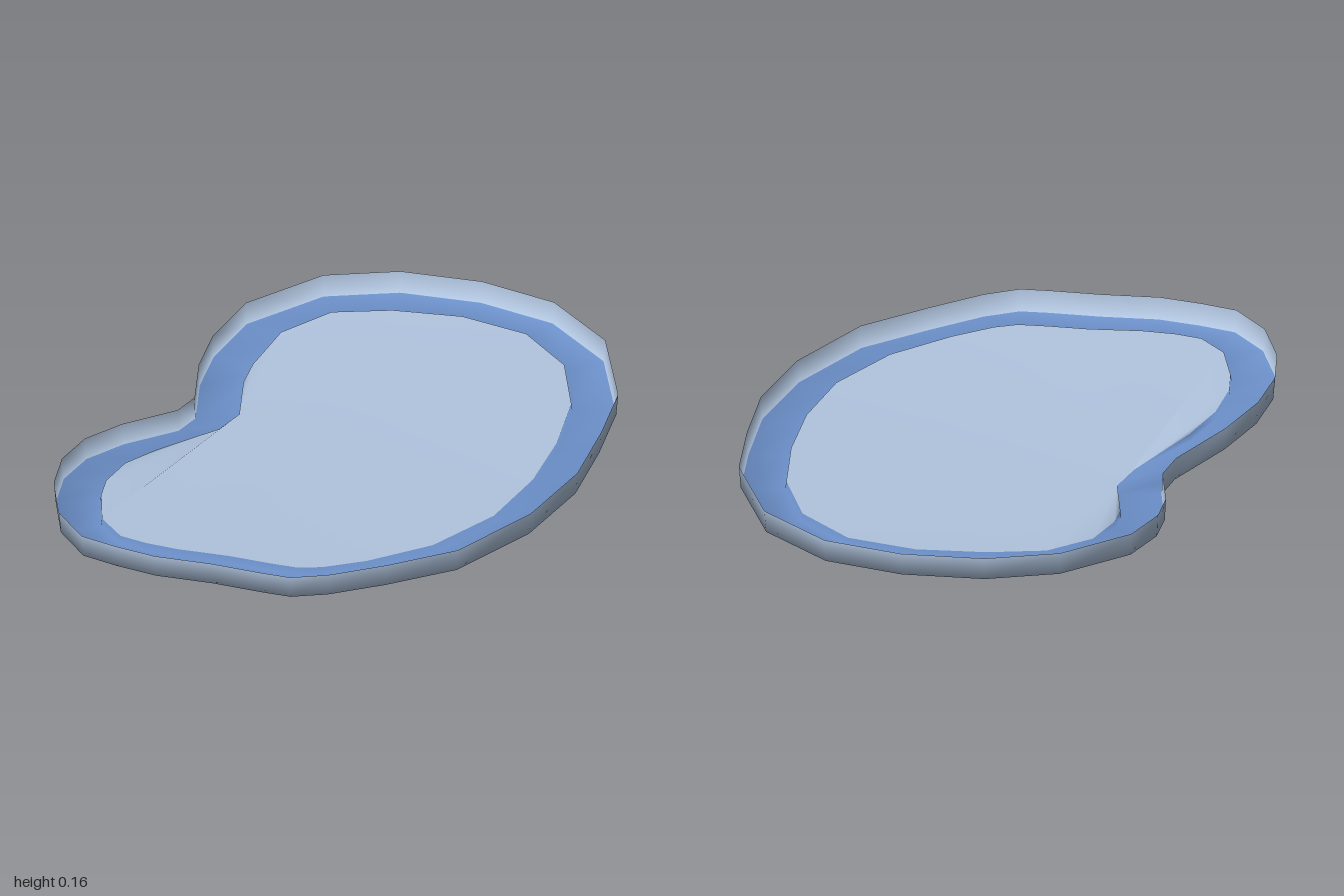
import * as THREE from 'three';

// Plan outlines as x, z pairs, running round from the back.
const OUTER = [
  0.03, -1, 0.31, -0.98, 0.57, -0.89, 0.78, -0.68, 0.88, -0.35, 0.865, -0.1, 0.83, 0.17,
  0.72, 0.45, 0.52, 0.72, 0.3, 0.86, 0.12, 0.96, 0, 1, -0.1, 0.99, -0.27, 0.965,
  -0.47, 0.95, -0.61, 0.91, -0.73, 0.865, -0.83, 0.73, -0.88, 0.54, -0.88, 0.38, -0.83, 0.22,
  -0.73, 0.07, -0.57, -0.1, -0.53, -0.2, -0.55, -0.4, -0.53, -0.56, -0.45, -0.75, -0.22, -0.94,
];
const INNER = [
  0.03, -0.845, 0.27, -0.84, 0.5, -0.765, 0.66, -0.59, 0.725, -0.35, 0.72, -0.1, 0.68, 0.15,
  0.59, 0.4, 0.42, 0.62, 0.22, 0.76, 0.08, 0.83, 0, 0.85, -0.1, 0.84, -0.24, 0.82,
  -0.42, 0.81, -0.53, 0.79, -0.62, 0.76, -0.7, 0.66, -0.73, 0.5, -0.73, 0.4, -0.69, 0.26,
  -0.61, 0.13, -0.43, -0.09, -0.38, -0.2, -0.4, -0.4, -0.385, -0.5, -0.32, -0.68, -0.17, -0.81,
];
const COUNT = OUTER.length / 2;
const NOTCH = 23; // innermost point of the notch, where the panel folds meet
const SPLIT = 17; // last outline point in clear sight of the notch
const BASE = 0.07;
const HEIGHT = 0.08;
const LIP = 0.027;

// The basin sags at the notch and lifts slightly at the front right corner.
function sag(x, z) {
  const d = Math.hypot(x + 0.5, z + 0.25) / 0.48;
  const lift = THREE.MathUtils.clamp((z - x - 0.4) / 0.9, 0, 1);
  return 0.014 * lift - 0.071 * Math.exp(-d * d);
}

export function createModel() {
  const paleBlue = new THREE.MeshStandardMaterial({ color: 0xb0c4de, side: THREE.DoubleSide });
  paleBlue.name = 'paleBlue';
  const midBlue = new THREE.MeshStandardMaterial({ color: 0x6b8fc8, side: THREE.DoubleSide });
  midBlue.name = 'midBlue';

  // Cross-section rows: outer rim, channel outside, channel inside, panel edge
  const rows = [
    { outline: OUTER, y: BASE + HEIGHT, scale: 1 },
    { outline: OUTER, y: BASE, scale: 0.993 },
    { outline: INNER, y: BASE, scale: 1 },
    { outline: INNER, y: BASE + LIP, scale: 0.995 },
  ];
  const positions = [];
  for (const { outline, y, scale } of rows) {
    for (let i = 0; i < COUNT; i++) {
      const x = outline[2 * i], z = outline[2 * i + 1];
      positions.push(x * scale, Math.max(0, y + sag(x, z)), z * scale);
    }
  }

  const geometry = new THREE.BufferGeometry();
  const index = [];
  const addGroup = (material, build) => {
    const start = index.length;
    build();
    geometry.addGroup(start, index.length - start, material);
  };
  const addStrip = (row) => {
    for (let i = 0; i < COUNT; i++) {
      const j = (i + 1) % COUNT;
      const a = row * COUNT + i, b = row * COUNT + j;
      index.push(a, a + COUNT, b + COUNT, a, b + COUNT, b);
    }
  };
  // Panel triangles from one apex to each outline edge between two points
  const addFan = (apex, from, to) => {
    const at = (k) => 3 * COUNT + k % COUNT;
    for (let k = from; k < to; k++) index.push(at(apex), at(k + 1), at(k));
  };

  // Outer wall
  addGroup(0, () => addStrip(0));
  // Channel floor and low inner lip
  addGroup(1, () => { addStrip(1); addStrip(2); });
  // Middle panel, fanned out from the two points of the notch
  addGroup(0, () => {
    addFan(NOTCH, NOTCH + 1, COUNT + SPLIT);
    addFan(NOTCH - 1, SPLIT, NOTCH - 2);
    index.push(3 * COUNT + NOTCH, 3 * COUNT + NOTCH - 1, 3 * COUNT + SPLIT);
  });

  geometry.setAttribute('position', new THREE.Float32BufferAttribute(positions, 3));
  geometry.setIndex(index);
  geometry.computeVertexNormals();

  const basin = new THREE.Mesh(geometry, [paleBlue, midBlue]);
  basin.name = 'kidneyBasin';
  const group = new THREE.Group();
  group.name = 'kidneyShapedBasin';
  group.add(basin);
  return group;
}
